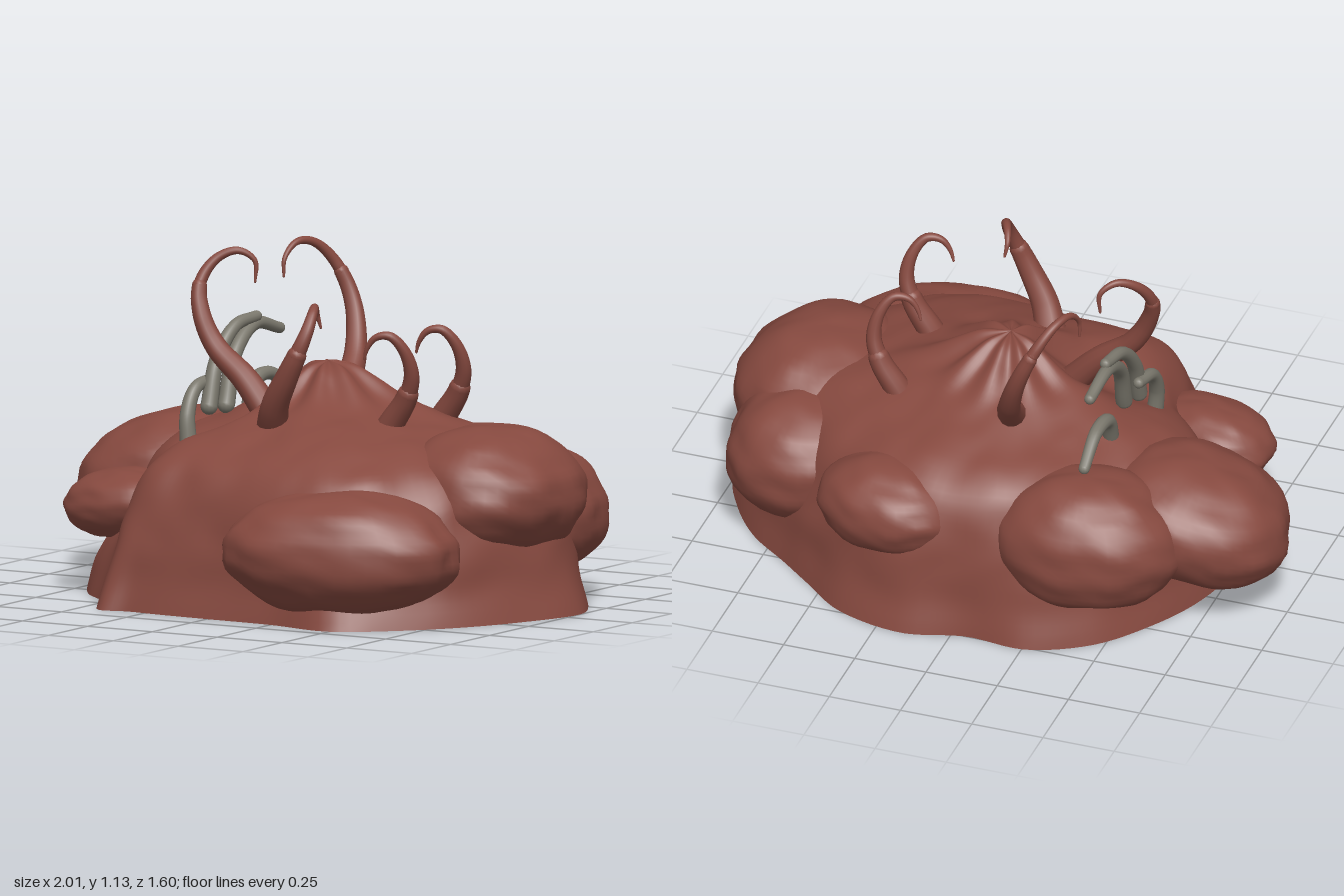
import * as THREE from 'three';
import { mergeVertices } from 'three/addons/utils/BufferGeometryUtils.js';

const flesh = new THREE.MeshStandardMaterial({ color: 0x86493f });
flesh.name = 'flesh red';
const bone = new THREE.MeshStandardMaterial({ color: 0x7b786d });
bone.name = 'bone grey';

const V = (p) => new THREE.Vector3(...p);

// smooth lumpy noise, about -1..1
function lumps(x, y, z, f) {
  return (Math.sin(f * x + 1.3 * Math.sin(f * z)) + Math.sin(f * 1.3 * y + 2 + Math.sin(f * x))
    + Math.sin(f * 1.1 * z + 4 + Math.sin(f * 1.2 * y))) / 3;
}

function add(parent, name, geometry, material) {
  const mesh = new THREE.Mesh(geometry, material);
  mesh.name = name;
  parent.add(mesh);
  return mesh;
}

// ground outline of the mound [x, z], counterclockwise from above
const OUTLINE = [
  [1, -0.08], [0.93, -0.25], [0.82, -0.4], [0.67, -0.52], [0.55, -0.62], [0.4, -0.74], [0.16, -0.8],
  [-0.05, -0.75], [-0.26, -0.76], [-0.46, -0.66], [-0.6, -0.49], [-0.7, -0.3], [-0.76, -0.05], [-0.77, 0.1],
  [-0.65, 0.33], [-0.52, 0.46], [-0.42, 0.645], [-0.32, 0.63], [-0.2, 0.64], [0, 0.65],
  [0.25, 0.66], [0.5, 0.7], [0.67, 0.58], [0.82, 0.4], [0.93, 0.18],
];

// mound cross-section [share of the outline radius, height]
const PROFILE = [
  [1, 0], [0.97, 0.1], [0.955, 0.2], [0.93, 0.3], [0.885, 0.39], [0.81, 0.475], [0.7, 0.535],
  [0.56, 0.575], [0.42, 0.615], [0.3, 0.655], [0.19, 0.712], [0.1, 0.762], [0, 0.78],
];

function mound(parent) {
  const n = 144, m = 48, cx = 0.03, cz = -0.08, reach = 6;
  const ground = new THREE.CatmullRomCurve3(OUTLINE.map(([x, z]) => new THREE.Vector3(x, 0, z)), true, 'centripetal');
  const section = new THREE.CatmullRomCurve3(PROFILE.map(([r, y]) => new THREE.Vector3(r, y, 0)));
  const rim = Array.from({ length: n }, (_, j) => ground.getPoint(j / n));
  // softened outline that takes over above the ground
  const soft = rim.map((_, j) => {
    const sum = new THREE.Vector3();
    for (let k = -reach; k <= reach; k++) sum.add(rim[(j + k + n) % n]);
    return sum.divideScalar(2 * reach + 1);
  });
  const pos = [], idx = [], edge = new THREE.Vector3();
  for (let i = 0; i <= m; i++) {
    const s = section.getPoint(i / m), rise = Math.min(1, s.y / 0.25);
    for (let j = 0; j < n; j++) {
      edge.lerpVectors(rim[j], soft[j], Math.min(1, s.y / 0.4));
      const dx = edge.x - cx, dz = edge.z - cz, a = Math.atan2(dz, dx);
      let r = s.x, y = s.y;
      const mid = Math.sin(Math.PI * Math.min(1, Math.max(0, r)));
      // hollow flank on the right front, folds running down from the peak
      const off = Math.abs(Math.atan2(Math.sin(a - 2.65), Math.cos(a - 2.65)));
      const hollow = Math.exp(-((off / 0.42) ** 2));
      y *= 1 - 0.11 * mid * hollow;
      r *= 1 - 0.17 * THREE.MathUtils.smoothstep(s.y, 0.08, 0.36) * hollow;
      y += 0.014 * Math.cos(9 * a + 1) * Math.exp(-(((r - 0.22) / 0.14) ** 2));
      const x = cx + dx * r, z = cz + dz * r, w = rise * Math.min(1, r * 3);
      y += w * (0.014 * lumps(x, 0, z, 13) + 0.007 * lumps(z, 0, x, 27));
      r *= 1 + w * (0.022 * lumps(x, y, z, 9) + 0.012 * lumps(z, y, x, 21));
      pos.push(cx + dx * r, Math.max(0, y), cz + dz * r);
    }
  }
  for (let i = 0; i < m; i++) for (let j = 0; j < n; j++) {
    const k = (j + 1) % n, a = i * n + j, b = i * n + k, c = a + n, d = b + n;
    idx.push(a, b, d, a, d, c);
  }
  const body = new THREE.BufferGeometry();
  body.setAttribute('position', new THREE.Float32BufferAttribute(pos, 3));
  body.setIndex(idx);
  body.computeVertexNormals();
  add(parent, 'mound', body, flesh);

  // flat underside
  const base = [cx, 0, cz], fan = [];
  rim.forEach((p, j) => {
    base.push(p.x, 0, p.z);
    fan.push(0, 1 + (j + 1) % n, 1 + j);
  });
  const under = new THREE.BufferGeometry();
  under.setAttribute('position', new THREE.Float32BufferAttribute(base, 3));
  under.setIndex(fan);
  under.computeVertexNormals();
  add(parent, 'underside', under, flesh);
}

// swollen, lumpy growth
function lobe(parent, name, center, radii, yaw, tilt) {
  let g = new THREE.SphereGeometry(1, 48, 32);
  g.deleteAttribute('uv');
  g.deleteAttribute('normal');
  g = mergeVertices(g, 1e-4);
  const p = g.attributes.position, v = new THREE.Vector3();
  for (let i = 0; i < p.count; i++) {
    v.fromBufferAttribute(p, i);
    const q = (Math.abs(v.x) ** 2.2 + Math.abs(v.y) ** 2.2 + Math.abs(v.z) ** 2.2) ** (-1 / 2.2);
    const k = center[0] * 7;
    v.multiplyScalar(q * (1 + 0.04 * lumps(v.x + k, v.y, v.z, 4) + 0.025 * lumps(v.x, v.y + k, v.z, 10)));
    p.setXYZ(i, v.x * radii[0], v.y * radii[1], v.z * radii[2]);
  }
  g.computeVertexNormals();
  const mesh = add(parent, name, g, flesh);
  mesh.position.set(...center);
  mesh.rotation.set(0, yaw, tilt);
}

// round tube along a curve whose radius follows a rule, with rounded ends
function taperedTube(parent, name, points, radius, material) {
  const curve = new THREE.CatmullRomCurve3(points), n = 36, sides = 12;
  const g = new THREE.TubeGeometry(curve, n, 1, sides);
  const p = g.attributes.position, v = new THREE.Vector3();
  for (let i = 0; i <= n; i++) {
    const c = curve.getPointAt(i / n);
    for (let j = 0; j <= sides; j++) {
      const k = i * (sides + 1) + j;
      v.fromBufferAttribute(p, k).sub(c).multiplyScalar(radius(i / n)).add(c);
      p.setXYZ(k, v.x, v.y, v.z);
    }
  }
  add(parent, name, g, material);
  for (const t of [0, 1]) {
    add(parent, name + 'End', new THREE.SphereGeometry(radius(t), 12, 8), material).position.copy(curve.getPointAt(t));
  }
}

// hooked tentacle: thick stalk, narrow joint, thin curling tip
function tentacle(parent, name, points, thick, joint) {
  const group = new THREE.Group();
  group.name = name;
  const curve = new THREE.CatmullRomCurve3(points.map(V));
  const part = (a, b) => Array.from({ length: 14 }, (_, i) => curve.getPointAt(a + (b - a) * i / 13));
  const r = (t) => 0.005 + (thick - 0.005) * (1 - t) ** 0.85;
  taperedTube(group, 'stalk', part(0, joint), (t) => r(t * joint), flesh);
  taperedTube(group, 'hook', part(joint + 0.02, 1), (t) => 0.82 * r(joint + (1 - joint) * t), flesh);
  parent.add(group);
}

export function createModel() {
  const model = new THREE.Group();
  model.name = 'tentacledMound';
  mound(model);

  lobe(model, 'frontLobe', [0.45, 0.24, 0.55], [0.4, 0.205, 0.225], 0.24, 0);
  lobe(model, 'leftLobe', [0.7, 0.4, 0], [0.3, 0.215, 0.325], 0, -0.06);
  lobe(model, 'leftBackBulge', [0.66, 0.3, -0.27], [0.28, 0.22, 0.26], 0.3, 0);
  lobe(model, 'rightBackLobe', [-0.69, 0.335, -0.27], [0.315, 0.2, 0.285], 0.15, 0.25);
  lobe(model, 'rightFrontLobe', [-0.56, 0.3, 0.25], [0.215, 0.115, 0.155], -0.2, 0.12);
  lobe(model, 'backLobe', [-0.4, 0.33, -0.52], [0.315, 0.23, 0.245], 0.1, 0);
  lobe(model, 'backLeftLobe', [0.27, 0.365, -0.57], [0.25, 0.155, 0.215], -0.2, 0);

  tentacle(model, 'rightTentacle', [
    [-0.17, 0.6, -0.02], [-0.26, 0.7, -0.03], [-0.38, 0.8, -0.04], [-0.44, 0.9, -0.05], [-0.465, 1.0, -0.08],
    [-0.43, 1.08, -0.13], [-0.37, 1.105, -0.17], [-0.325, 1.07, -0.2], [-0.325, 1.0, -0.2]], 0.05, 0.61);
  tentacle(model, 'backTentacle', [
    [-0.05, 0.58, -0.26], [-0.075, 0.66, -0.38], [-0.11, 0.76, -0.49], [-0.16, 0.9, -0.555], [-0.215, 1.02, -0.55],
    [-0.265, 1.1, -0.49], [-0.295, 1.11, -0.42], [-0.31, 1.06, -0.365], [-0.31, 1.0, -0.36]], 0.05, 0.62);
  tentacle(model, 'frontTentacle', [
    [0, 0.58, 0.23], [0.04, 0.67, 0.28], [0.1, 0.77, 0.305], [0.145, 0.86, 0.305], [0.165, 0.93, 0.28],
    [0.16, 0.985, 0.235], [0.14, 0.995, 0.19], [0.125, 0.965, 0.15], [0.13, 0.92, 0.135]], 0.055, 0.5);
  // pair of matching side tentacles
  for (const [name, z, drop] of [['leftFrontTentacle', 0.09, 0], ['leftBackTentacle', -0.26, 0.02]]) {
    const path = [[0.33, 0.54, 0], [0.38, 0.62, 0], [0.435, 0.7, 0.005], [0.465, 0.78, 0.02], [0.455, 0.86, 0.045],
      [0.415, 0.915, 0.075], [0.37, 0.91, 0.09], [0.34, 0.875, 0.095], [0.325, 0.835, 0.09]];
    tentacle(model, name, path.map(([x, y, dz]) => [x - drop / 2, y - drop, z + dz]), 0.05, 0.36);
  }

  // grey ribs arching backwards out of the right flank
  const ribs = [
    [[-0.425, 0.48, 0.06], [-0.435, 0.58, 0.05], [-0.435, 0.66, 0.0], [-0.425, 0.685, -0.1]],
    [[-0.4, 0.6, -0.03], [-0.405, 0.75, -0.09], [-0.395, 0.85, -0.19], [-0.38, 0.87, -0.3]],
    [[-0.37, 0.6, -0.09], [-0.38, 0.76, -0.16], [-0.385, 0.845, -0.3], [-0.375, 0.815, -0.44]],
    [[-0.38, 0.52, -0.24], [-0.39, 0.655, -0.31], [-0.385, 0.665, -0.41], [-0.38, 0.585, -0.51]],
  ];
  for (const rib of ribs) taperedTube(model, 'rib', rib.map(V), (t) => 0.029 - 0.01 * t, bone);

  return model;
}
